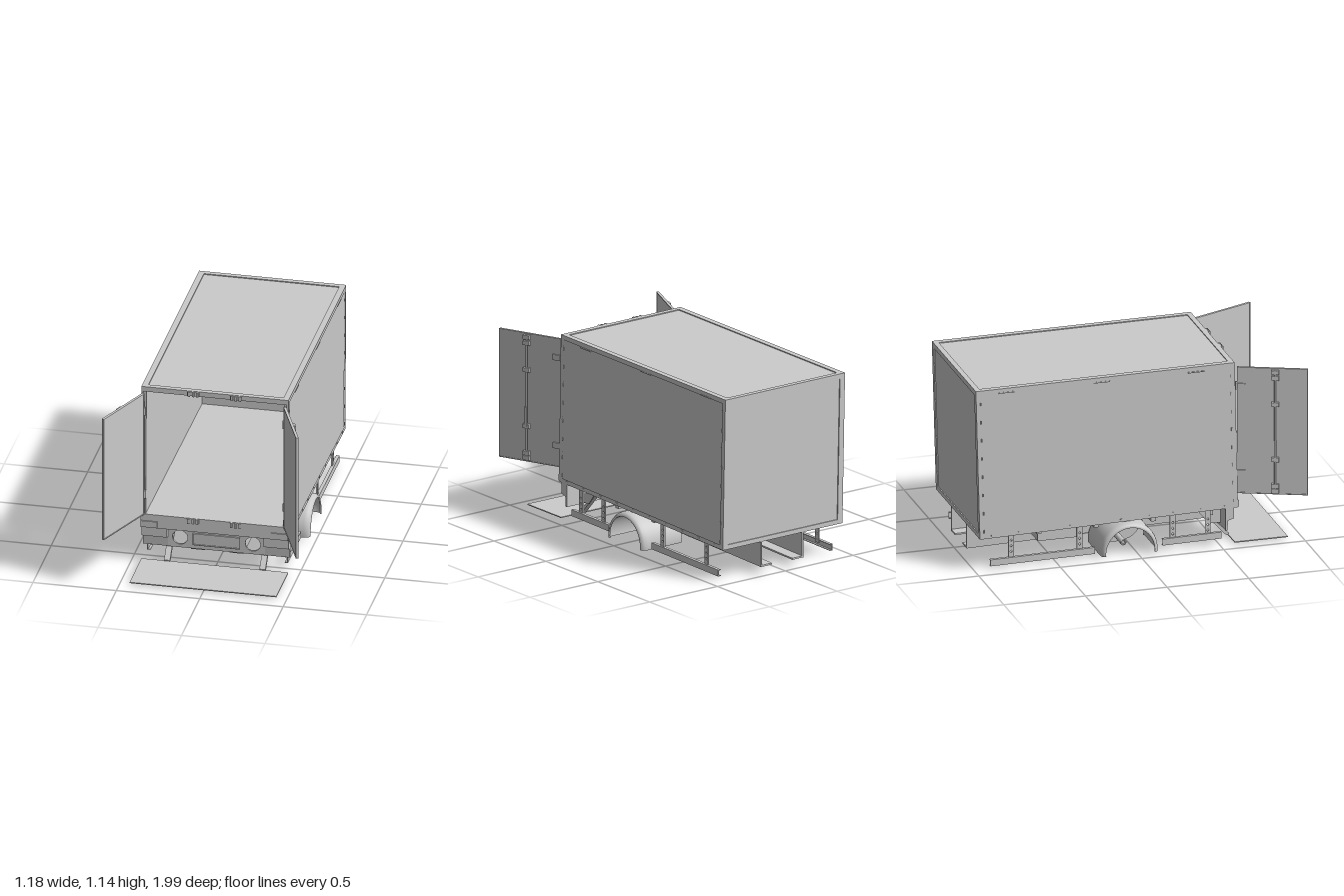
import * as THREE from 'three';

const grey = new THREE.MeshStandardMaterial({ color: 0xcccccc });
const greyDouble = new THREE.MeshStandardMaterial({ color: 0xcccccc, side: THREE.DoubleSide });

export function createModel() {
  const model = new THREE.Group();

  function add(name, geometry, parent = model, material = grey) {
    const mesh = new THREE.Mesh(geometry, material);
    mesh.name = name;
    parent.add(mesh);
    return mesh;
  }
  // Box given by its centre and size
  function box(name, x, y, z, w, h, d, parent = model) {
    const mesh = add(name, new THREE.BoxGeometry(w, h, d), parent);
    mesh.position.set(x, y, z);
    return mesh;
  }
  // Side profile of [z, y] points, extruded from xa to xb
  function slab(name, points, xa, xb, holes = []) {
    const v = (list) => list.map(([z, y]) => new THREE.Vector2(z, y));
    const shape = new THREE.Shape(v(points));
    for (const h of holes) shape.holes.push(new THREE.Path(v(h)));
    const g = new THREE.ExtrudeGeometry(shape, { depth: Math.abs(xb - xa), bevelEnabled: false });
    g.rotateY(-Math.PI / 2).translate(Math.max(xa, xb), 0, 0);
    return add(name, g);
  }

  // The cargo box leans slightly: u runs front to back, v bottom to top
  const mix = THREE.MathUtils.lerp;
  const at = (u, v) => [
    mix(mix(0.605, -0.975, u), mix(0.585, -1.0, u), v),
    mix(mix(0.235, 0.205, u), mix(1.142, 1.134, u), v),
  ];
  const quad = (u0, u1, v0, v1) => [at(u0, v0), at(u1, v0), at(u1, v1), at(u0, v1)];

  // Cargo box shell, with panels recessed inside raised frames
  for (const s of [1, -1]) {
    slab('sideWall', quad(0.005, 0.995, 0.005, 0.995), s * 0.412, s * 0.434);
    slab('sideFrame', quad(0, 1, 0, 1), s * 0.43, s * 0.441, [quad(0.018, 0.982, 0.03, 0.97)]);
  }
  slab('floor', quad(0.01, 0.99, 0.015, 0.094), -0.413, 0.413);
  slab('roof', [at(0.01, 0.967), at(0.99, 0.945), at(0.99, 0.994), at(0.01, 0.994)], -0.413, 0.413);
  slab('backWall', quad(0.982, 0.996, 0.005, 0.99), -0.413, 0.413);
  slab('frontHeader', quad(0, 0.02, 0.966, 1), -0.431, 0.431);
  slab('frontSill', quad(0, 0.02, 0, 0.094), -0.431, 0.431);
  slab('backTopRail', quad(0.98, 1, 0.965, 1), -0.431, 0.431);
  slab('backBottomRail', quad(0.985, 1, 0, 0.03), -0.431, 0.431);
  for (const s of [1, -1]) {
    slab('backPost', quad(0.985, 1, 0.02, 0.98), s * 0.405, s * 0.431);
    slab('roofEdge', quad(0.01, 0.99, 0.98, 1), s * 0.405, s * 0.431);
  }

  // Rivets, marker strips, door catches and lamps
  for (const s of [1, -1]) {
    for (let i = 0; i < 8; i++) {
      for (const u of [0.017, 0.983]) {
        const [z, y] = at(u, 0.05 + i * 0.123);
        box('rivet', s * 0.441, y, z, 0.004, 0.02, 0.006);
      }
    }
    for (let i = 0; i < 10; i++) {
      const [z, y] = at(0.05 + i * 0.1, 0.018);
      box('rivet', s * 0.441, y, z, 0.004, 0.007, 0.02);
    }
    for (const z of [0.35, -0.23, -0.81]) box('markerStrip', s * 0.441, 1.109, z, 0.004, 0.007, 0.1);
    for (const [y, z] of [[0.304, 0.603], [1.127, 0.59]]) {
      box('catchPlate', s * 0.128, y, z, 0.072, 0.026, 0.008);
      for (const dx of [-0.025, 0, 0.025]) box('catchLug', s * 0.128 + dx, y, z + 0.006, 0.013, 0.03, 0.012);
    }
    box('cornerLamp', s * 0.39, 0.258, 0.607, 0.1, 0.04, 0.008);
  }

  // Open double doors with hinges and locking bars
  for (const s of [1, -1]) {
    const door = new THREE.Group();
    door.name = 'door';
    door.position.set(s * 0.424, 0, 0.605);
    door.rotation.y = s * 0.39;
    model.add(door);
    box('doorPanel', 0, 0.714, 0.208, 0.011, 0.785, 0.416, door);
    for (const y of [0.323, 1.105]) box('doorTrim', 0, y, 0.208, 0.016, 0.006, 0.418, door);
    for (const z of [0.003, 0.413]) box('doorTrim', 0, 0.714, z, 0.016, 0.785, 0.006, door);
    const bar = add('lockingBar', new THREE.CylinderGeometry(0.006, 0.006, 0.77, 10), door);
    bar.position.set(s * 0.016, 0.714, 0.225);
    for (const y of [0.345, 0.375, 0.54, 0.885, 1.05, 1.085]) {
      box('barBracket', s * 0.013, y, 0.225, 0.022, 0.026, 0.044, door);
    }
    box('barHandle', s * 0.022, 0.6, 0.225, 0.01, 0.12, 0.014, door);
    for (const y of [0.45, 0.99]) {
      const hinge = add('hinge', new THREE.CylinderGeometry(0.008, 0.008, 0.05, 10));
      hinge.position.set(s * 0.418, y, 0.603);
      box('hingeLeaf', s * 0.009, y, 0.025, 0.008, 0.035, 0.05, door);
    }
  }

  // Rear bumper: pierced centre panel, stepped corners and plate holder
  const panel = new THREE.Shape();
  panel.moveTo(-0.29, 0.095).lineTo(0.29, 0.095).lineTo(0.29, 0.232).lineTo(-0.29, 0.232).closePath();
  for (const s of [1, -1]) {
    const hole = new THREE.Path();
    hole.absarc(s * 0.218, 0.16, 0.045, 0, Math.PI * 2);
    panel.holes.push(hole);
  }
  const panelGeometry = new THREE.ExtrudeGeometry(panel, { depth: 0.012, bevelEnabled: false, curveSegments: 24 });
  add('bumperPanel', panelGeometry.translate(0, 0, 0.53));
  const corner = [[0.53, 0.095], [0.54, 0.095], [0.545, 0.157], [0.58, 0.168], [0.58, 0.235], [0.53, 0.235]];
  for (const s of [1, -1]) slab('bumperCorner', corner, s * 0.29, s * 0.44);
  box('plateHolder', 0, 0.158, 0.543, 0.28, 0.07, 0.006);
  for (const y of [0.123, 0.193]) box('plateRim', 0, y, 0.547, 0.285, 0.005, 0.008);
  for (const x of [-0.14, 0.14]) box('plateRim', x, 0.158, 0.547, 0.005, 0.07, 0.008);

  // Lowered tail platform and its arms
  box('tailPlatform', 0, 0.017, 0.748, 0.88, 0.006, 0.325);
  const arm = [[0.59, 0.014], [0.59, 0.026], [0.40, 0.225], [0.38, 0.225], [0.575, 0.014]];
  for (const s of [1, -1]) slab('platformArm', arm, s * 0.268, s * 0.304);

  // Chassis rails of L section with cross members
  for (const s of [1, -1]) {
    slab('railWeb', [[0.52, 0.085], [0.52, 0.25], [-0.97, 0.22], [-0.97, 0.052]], s * 0.148, s * 0.157);
    slab('railFlange', [[0.52, 0.08], [0.52, 0.09], [-0.97, 0.058], [-0.97, 0.048]], s * 0.075, s * 0.157);
  }
  for (const z of [0.45, 0.1, -0.25, -0.6]) box('crossMember', 0, 0.205, z, 0.8, 0.035, 0.03);

  // Wheel arches, inner plates and axle
  const archProfile = [[0.168, 0.17], [0.175, 0.18], [0.175, 0.425], [0.171, 0.447], [0.163, 0.46], [0.15, 0.466], [0.148, 0.458]];
  for (const s of [1, -1]) {
    const arch = new THREE.LatheGeometry(
      archProfile.map(([r, x]) => new THREE.Vector2(r, s * x)), 32, Math.PI - 0.1, Math.PI + 0.2);
    add('wheelArch', arch.rotateZ(-Math.PI / 2), model, greyDouble).position.set(0, 0.036, -0.06);
    const plate = add('wheelArchPlate', new THREE.CylinderGeometry(1, 1, 1, 32).rotateZ(Math.PI / 2));
    plate.scale.set(0.01, 0.097, 0.14);
    plate.position.set(s * 0.178, 0.099, -0.06);
    const stub = add('axleStub', new THREE.CylinderGeometry(0.018, 0.018, 0.14, 16).rotateZ(Math.PI / 2));
    stub.position.set(s * 0.25, 0.045, -0.06);
    const cap = add('axleCap', new THREE.TorusGeometry(0.014, 0.005, 8, 16).rotateY(Math.PI / 2));
    cap.position.set(s * 0.32, 0.045, -0.06);
  }

  // Side guards: channel rails hung on pierced posts
  for (const s of [1, -1]) {
    for (const [za, zb, ya, yb] of [[0.51, 0.15, 0.063, 0.058], [-0.265, -0.905, 0.052, 0.044]]) {
      const strip = (lo, hi) => [[za, ya + lo], [za, ya + hi], [zb, yb + hi], [zb, yb + lo]];
      slab('guardRail', strip(-0.02, 0.02), s * 0.416, s * 0.422);
      for (const e of [-0.02, 0.016]) slab('guardLip', strip(e, e + 0.004), s * 0.402, s * 0.422);
    }
    for (const z of [0.43, 0.215, -0.355, -0.775]) {
      const holes = [0.1, 0.135, 0.17].map((y) => [[z - 0.008, y], [z, y - 0.009], [z + 0.008, y], [z, y + 0.009]]);
      const post = [[z - 0.017, 0.045], [z + 0.017, 0.045], [z + 0.017, 0.235], [z - 0.017, 0.235]];
      slab('guardPost', post, s * 0.404, s * 0.412, holes);
    }
    // Hanger plate behind the bumper
    slab('hangerPlate', [[0.54, 0.11], [0.54, 0.235], [0.36, 0.235], [0.46, 0.11]], s * 0.325, s * 0.333);
  }

  // Open tray under the floor on one side
  for (const z of [-0.36, -0.6]) box('trayEnd', -0.28, 0.175, z, 0.2, 0.08, 0.008);
  for (const x of [-0.18, -0.38]) box('traySide', x, 0.175, -0.48, 0.008, 0.08, 0.248);

  return model;
}
